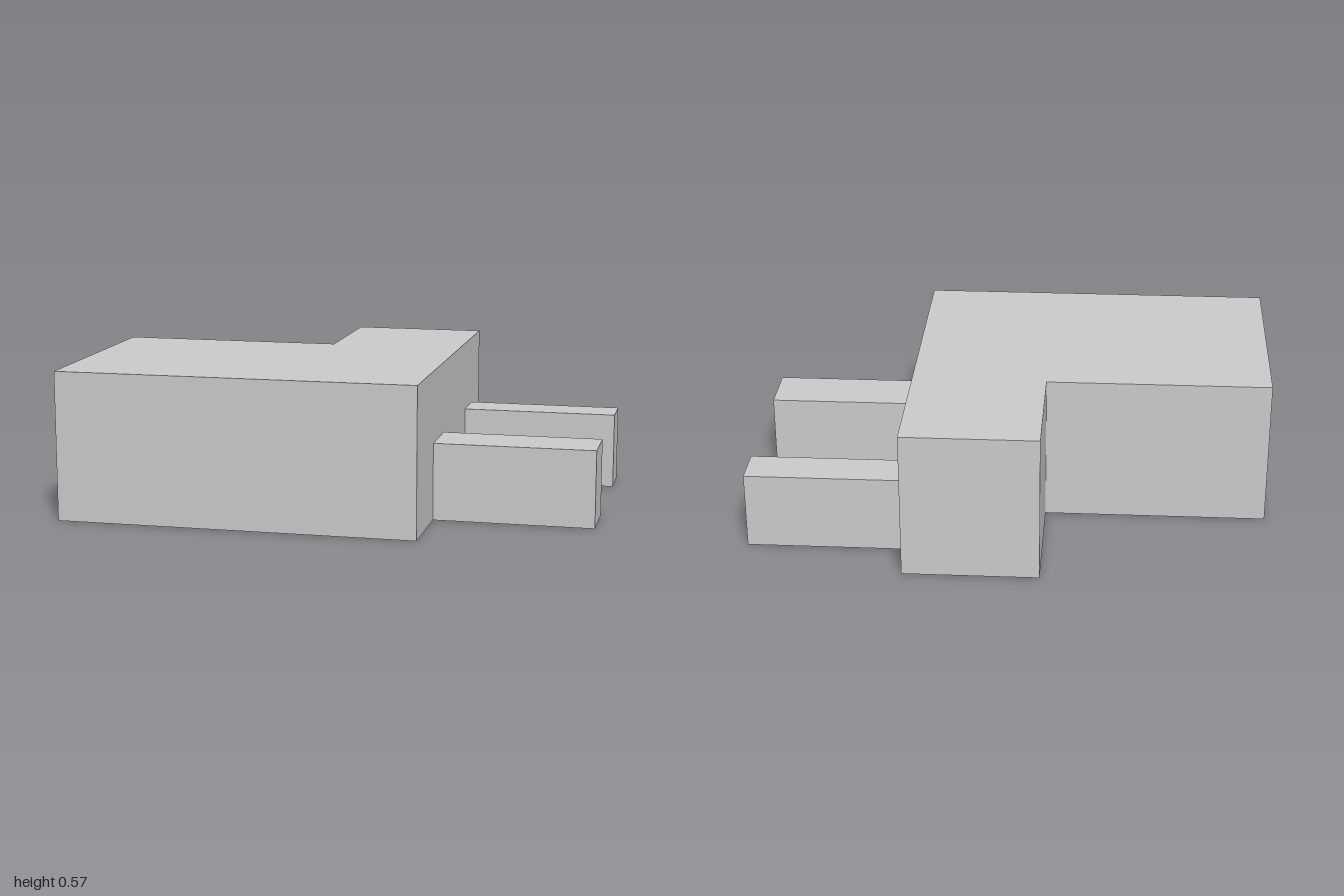
import * as THREE from 'three';

const material = new THREE.MeshStandardMaterial({ color: 0xcccccc, flatShading: true });

// Extrudes a plan outline of [x, z] corners upward from the ground.
function extrudePlan(name, corners, height) {
  const shape = new THREE.Shape(corners.map(([x, z]) => new THREE.Vector2(x, -z)));
  const geometry = new THREE.ExtrudeGeometry(shape, { depth: height, bevelEnabled: false });
  geometry.rotateX(-Math.PI / 2);
  const mesh = new THREE.Mesh(geometry, material);
  mesh.name = name;
  return mesh;
}

export function createModel() {
  const model = new THREE.Group();
  model.name = 'blockBuilding';

  const bodyEnd = 0.385;

  // L-shaped main block
  model.add(extrudePlan('mainBlock', [
    [-1, 0.695], [bodyEnd, 0.695], [bodyEnd, -0.695],
    [-0.135, -0.695], [-0.135, -0.195], [-1, -0.195],
  ], 0.575));

  // Two low wings reaching out from the left side
  const wings = [
    ['frontWing', 0.15, 0.37],
    ['backWing', -0.513, -0.347],
  ];
  for (const [name, zBack, zFront] of wings) {
    model.add(extrudePlan(name, [
      [bodyEnd, zFront], [1, zFront], [1, zBack], [bodyEnd, zBack],
    ], 0.298));
  }

  return model;
}
